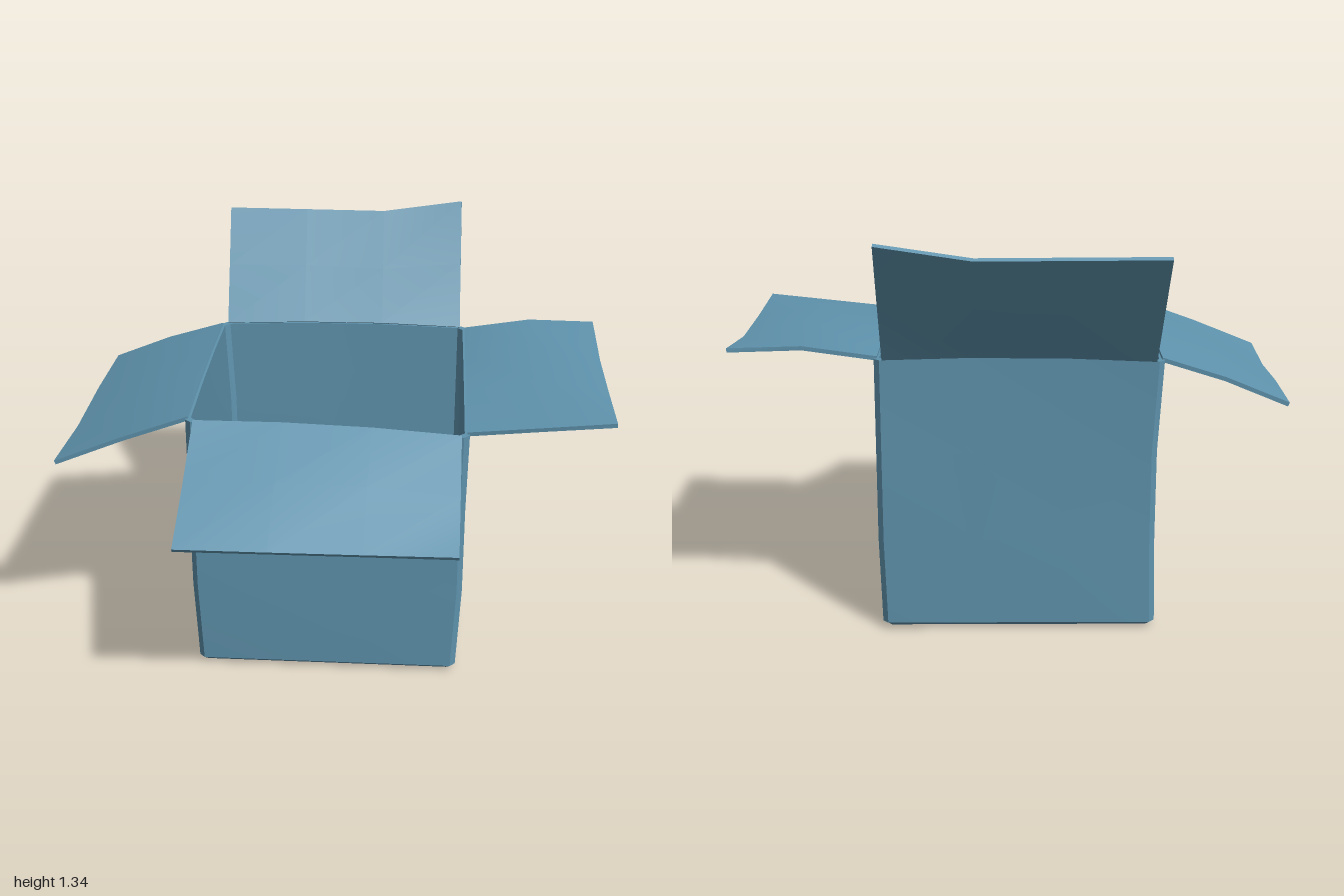
import * as THREE from 'three';
import { toCreasedNormals } from 'three/addons/utils/BufferGeometryUtils.js';

const V = (x, y, z) => new THREE.Vector3(x, y, z);
const STEPS = [0.02, 0.34, 0.66, 0.98]; // points along each wall; the gaps form the corners
const THICK = 0.014;

// Corner positions [x, z] at the bottom, middle and rim: back, right, front, left
const BOTTOM = [[-0.125, -0.665], [0.615, -0.14], [0.085, 0.58], [-0.635, 0.065]];
const MIDDLE = [[-0.12, -0.66], [0.625, -0.14], [0.095, 0.59], [-0.65, 0.07]];
const RIM = [[-0.125, -0.68], [0.625, -0.14], [0.09, 0.605], [-0.65, 0.075]];
const RIM_Y = [0.925, 0.93, 0.9, 0.93];

// One loop of points around the carton, drawn in towards the centre by inset
function ring(corners, heights, inset = 0, arch = 0) {
  const points = [];
  const cx = corners.reduce((s, p) => s + p[0], 0) / 4;
  const cz = corners.reduce((s, p) => s + p[1], 0) / 4;
  const k = 1 - inset / 0.45;
  for (let i = 0; i < 4; i++) {
    const j = (i + 1) % 4;
    for (const t of STEPS) {
      const mix = (a, b) => a + (b - a) * t;
      points.push(V(
        cx + (mix(corners[i][0], corners[j][0]) - cx) * k,
        mix(heights[i], heights[j]) + arch * Math.sin(Math.PI * t),
        cz + (mix(corners[i][1], corners[j][1]) - cz) * k));
    }
  }
  return points;
}

function makeMesh(points, index, name, material, crease) {
  const geometry = new THREE.BufferGeometry().setFromPoints(points);
  geometry.setIndex(index);
  const mesh = new THREE.Mesh(toCreasedNormals(geometry, crease), material);
  mesh.name = name;
  return mesh;
}

// Walls and floor: one skin from under the base, over the rim and down inside
function makeBody(material) {
  const level = y => [y, y, y, y];
  const loops = [
    ring(BOTTOM, level(0), 0.449),
    ring(BOTTOM, level(0.003), 0.2),
    ring(BOTTOM, level(0.012), 0.012),
    ring(BOTTOM, level(0.024)),
    ring(MIDDLE, level(0.32)),
    ring(MIDDLE, level(0.62)),
    ring(RIM, RIM_Y, 0, 0.012),
    ring(RIM, RIM_Y, 0.016, 0.012),
    ring(MIDDLE, level(0.62), 0.016),
    ring(MIDDLE, level(0.32), 0.016),
    ring(BOTTOM, level(0.03), 0.016),
    ring(BOTTOM, level(0.02), 0.449),
  ];
  const n = loops[0].length, index = [];
  for (let r = 0; r < loops.length - 1; r++) {
    for (let c = 0; c < n; c++) {
      const a = r * n + c, b = r * n + (c + 1) % n;
      index.push(a, a + n, b + n, a, b + n, b);
    }
  }
  return makeMesh(loops.flat(), index, 'cartonBody', material, 0.6);
}

// A bent sheet of card, thickened about a grid of points (rows run outwards)
function makeSheet(grid, name, material) {
  const rows = grid.length, cols = grid[0].length, count = rows * cols;
  const top = [], bottom = [], index = [];
  const at = (r, c) => grid[THREE.MathUtils.clamp(r, 0, rows - 1)][THREE.MathUtils.clamp(c, 0, cols - 1)];
  for (let r = 0; r < rows; r++) {
    for (let c = 0; c < cols; c++) {
      const u = at(r, c + 1).clone().sub(at(r, c - 1));
      const w = at(r + 1, c).clone().sub(at(r - 1, c));
      const offset = u.cross(w).normalize().multiplyScalar(THICK / 2);
      top.push(at(r, c).clone().add(offset));
      bottom.push(at(r, c).clone().sub(offset));
      if (r < rows - 1 && c < cols - 1) {
        const a = r * cols + c, b = a + 1, d = a + cols, e = d + 1;
        index.push(a, b, e, a, e, d);
        index.push(a + count, e + count, b + count, a + count, d + count, e + count);
      }
    }
  }
  // Cut edge around the sheet
  const border = [];
  for (let c = 0; c < cols - 1; c++) border.push(c);
  for (let r = 0; r < rows - 1; r++) border.push(r * cols + cols - 1);
  for (let c = cols - 1; c > 0; c--) border.push((rows - 1) * cols + c);
  for (let r = rows - 1; r > 0; r--) border.push(r * cols);
  border.forEach((a, i) => {
    const b = border[(i + 1) % border.length];
    index.push(a + count, b + count, b, a + count, b, a);
  });
  return makeMesh([...top, ...bottom], index, name, material, 0.7);
}

// Free corners of each flap, with the warp in height of its middle and its outer edge
const FLAPS = [
  { name: 'backRightFlap', from: V(0.03, 1.3, -0.87), to: V(0.745, 1.34, -0.36),
    middle: [0, 0, -0.01, 0], edge: [0, -0.015, -0.03, 0] },
  { name: 'frontRightFlap', from: V(0.995, 0.96, 0.14), to: V(0.475, 0.95, 0.86),
    middle: [0.02, 0.055, 0.04, 0], edge: [0, -0.03, -0.02, 0] },
  { name: 'frontLeftFlap', from: V(-0.15, 0.675, 0.89), to: V(-0.86, 0.675, 0.39),
    middle: [-0.01, 0.01, 0.01, -0.01], edge: [0, 0, 0, 0] },
  { name: 'backLeftFlap', from: V(-0.995, 0.76, -0.2), to: V(-0.46, 0.78, -0.9),
    middle: [0.005, 0.02, 0.02, 0.01], edge: [0, -0.015, 0, 0] },
];

export function createModel() {
  const group = new THREE.Group();
  group.name = 'openCarton';
  const material = new THREE.MeshStandardMaterial({ color: 0x5f93ad });
  material.side = THREE.DoubleSide;

  group.add(makeBody(material));

  // Flaps hinge on the middle of the rim
  const rim = ring(RIM, RIM_Y, 0.008, 0.012);
  FLAPS.forEach((flap, i) => {
    const hinge = rim.slice(i * 4, i * 4 + 4);
    const outer = flap.edge.map((dy, c) => flap.from.clone().lerp(flap.to, c / 3).add(V(0, dy, 0)));
    const middle = flap.middle.map((dy, c) => hinge[c].clone().lerp(outer[c], 0.5).add(V(0, dy, 0)));
    group.add(makeSheet([hinge, middle, outer], flap.name, material));
  });
  return group;
}
